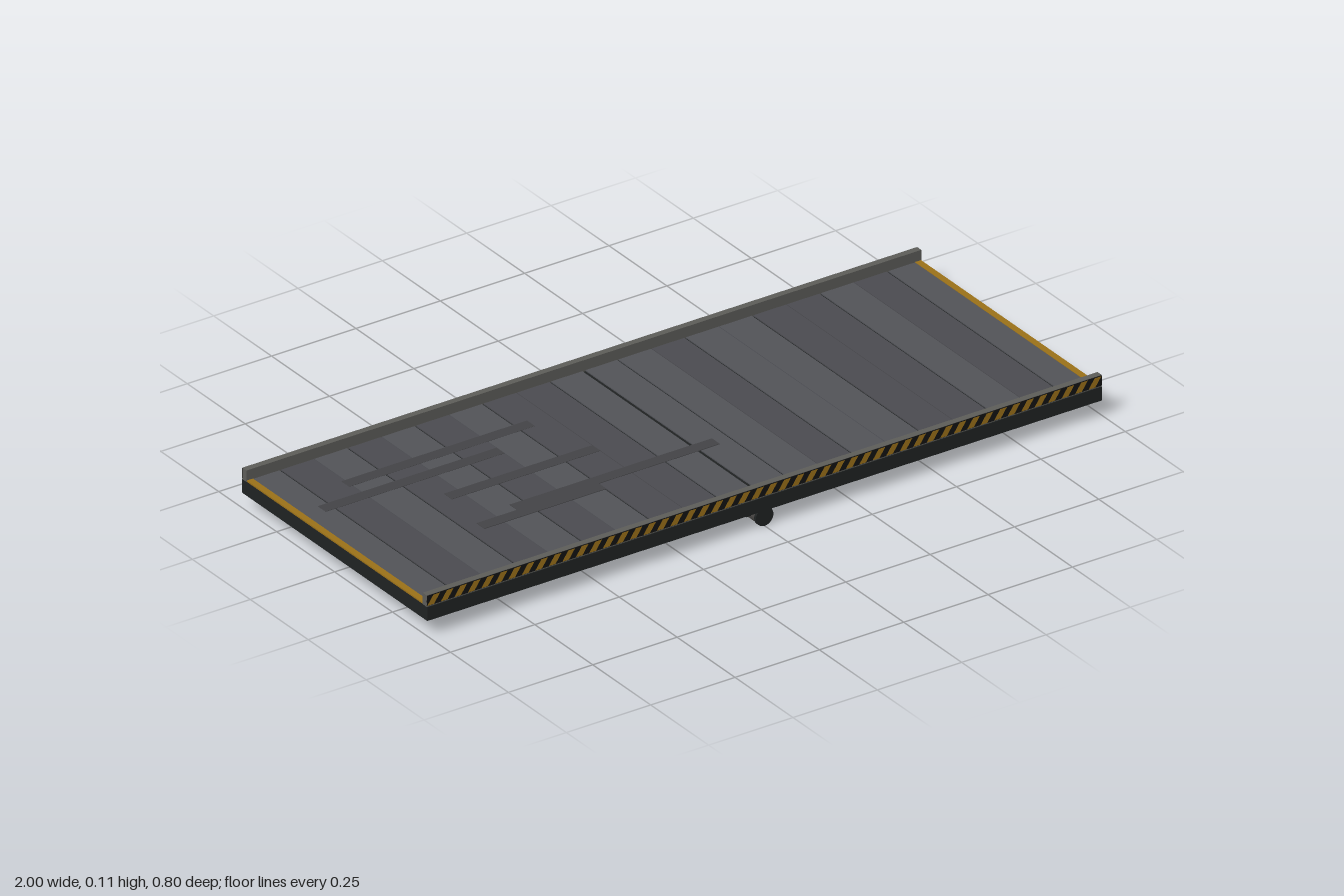
import * as THREE from 'three';

const mat = (color, extra = {}) => new THREE.MeshStandardMaterial({ color, ...extra });

export function createModel() {
  const root = new THREE.Group();
  root.name = 'tiltingPlatform';
  const dark = mat(0x1f2222);
  const black = mat(0x121212);
  const steel = mat(0x5c5c58);
  const yellow = mat(0x9a7018);
  const axleGrey = mat(0x4a4846);
  const scuff = mat(0x434346);
  const plankTones = [mat(0x515257), mat(0x4a4a4f)];

  // Box given by its minimum and maximum corners
  function box(name, material, x0, x1, y0, y1, z0, z1, parent = root) {
    const m = new THREE.Mesh(new THREE.BoxGeometry(x1 - x0, y1 - y0, z1 - z0), material);
    m.position.set((x0 + x1) / 2, (y0 + y1) / 2, (z0 + z1) / 2);
    m.name = name;
    parent.add(m);
    return m;
  }
  function group(name) {
    const g = new THREE.Group();
    g.name = name;
    root.add(g);
    return g;
  }

  // Deck slab
  box('deckSlab', dark, -1, 1, 0.042, 0.08, -0.4, 0.4);

  // Cross planks with narrow dark seams, wider at the centre
  const planks = group('planks');
  const tones = [0, 1, 0, 1, 0, 1, 0, 1, 1, 0, 0, 0, 1, 0, 0, 1, 1, 0, 1, 0];
  for (let i = 0; i < 20; i++) {
    const x = -1 + i * 0.1;
    const gap = (side) => (side === 10 ? 0.005 : side % 2 ? 0.0025 : 0.001);
    box('plank', plankTones[tones[i]], x + (i ? gap(i) : 0.018), x + 0.1 - (i < 19 ? gap(i + 1) : 0.018),
      0.079, 0.083, -0.38, 0.38, planks);
  }

  // Worn skid marks on the deck: x start, x end, z
  const marks = group('skidMarks');
  [[-0.81, -0.26, -0.23], [-0.93, -0.4, -0.157], [-0.64, -0.2, -0.035],
    [-0.54, 0.06, 0.102], [-0.66, -0.3, 0.135]].forEach(([a, b, z], i) =>
    box('skidMark', scuff, a, b, 0.082, 0.0836 + i * 0.0002, z - 0.017, z + 0.017, marks));

  // Yellow end strips
  for (const s of [-1, 1]) {
    const strip = box('endStrip', yellow, -0.009, 0.009, 0.079, 0.084, -0.38, 0.38);
    strip.position.x = s * 0.99;
  }

  // Slanted warning bar, clipped to the length of the rail
  function slantedBar(x, width, y0, y1, slant) {
    const clip = (v) => Math.max(-1, Math.min(1, v));
    const s = new THREE.Shape();
    s.moveTo(clip(x), y0);
    s.lineTo(clip(x + width), y0);
    s.lineTo(clip(x + width + slant), y1);
    s.lineTo(clip(x + slant), y1);
    return new THREE.ShapeGeometry(s);
  }

  // Side rails with striped outer faces
  for (const s of [-1, 1]) {
    const rail = group(s > 0 ? 'frontRail' : 'backRail');
    box('railBar', steel, -1, 1, 0.08, 0.112, 0.38, 0.398, rail);
    box('stripeBacking', black, -1, 1, 0.083, 0.111, 0.397, 0.399, rail);
    for (let i = 0; i < 50; i++) {
      const bar = new THREE.Mesh(slantedBar(-1 + i * 0.04, 0.02, 0.084, 0.11, 0.018), yellow);
      bar.name = 'warningStripe';
      bar.position.z = 0.4;
      rail.add(bar);
    }
    if (s < 0) rail.rotation.y = Math.PI;
  }

  // Long beams and cross beams under the deck
  const frame = group('underframe');
  for (const z of [-0.36, 0, 0.36])
    box('longBeam', black, -0.95, 0.95, 0.03, 0.043, z - 0.015, z + 0.015, frame);
  for (const x of [-0.8, -0.4, 0.4, 0.8])
    box('crossBeam', black, x - 0.015, x + 0.015, 0.034, 0.043, -0.36, 0.36, frame);

  // Pivot axle with end caps and saddle brackets
  const pivot = group('pivot');
  function rod(name, material, radius, z0, z1) {
    const m = new THREE.Mesh(new THREE.CylinderGeometry(radius, radius, z1 - z0, 24), material);
    m.rotation.x = Math.PI / 2;
    m.position.set(0, 0.026, (z0 + z1) / 2);
    m.name = name;
    pivot.add(m);
  }
  rod('axle', axleGrey, 0.024, -0.396, 0.396);
  rod('axleCap', dark, 0.026, -0.4, -0.392);
  rod('axleCap', dark, 0.026, 0.392, 0.4);
  for (const z of [-0.36, 0, 0.36])
    box('axleBracket', dark, -0.038, 0.038, 0.024, 0.043, z - 0.015, z + 0.015, pivot);

  return root;
}
